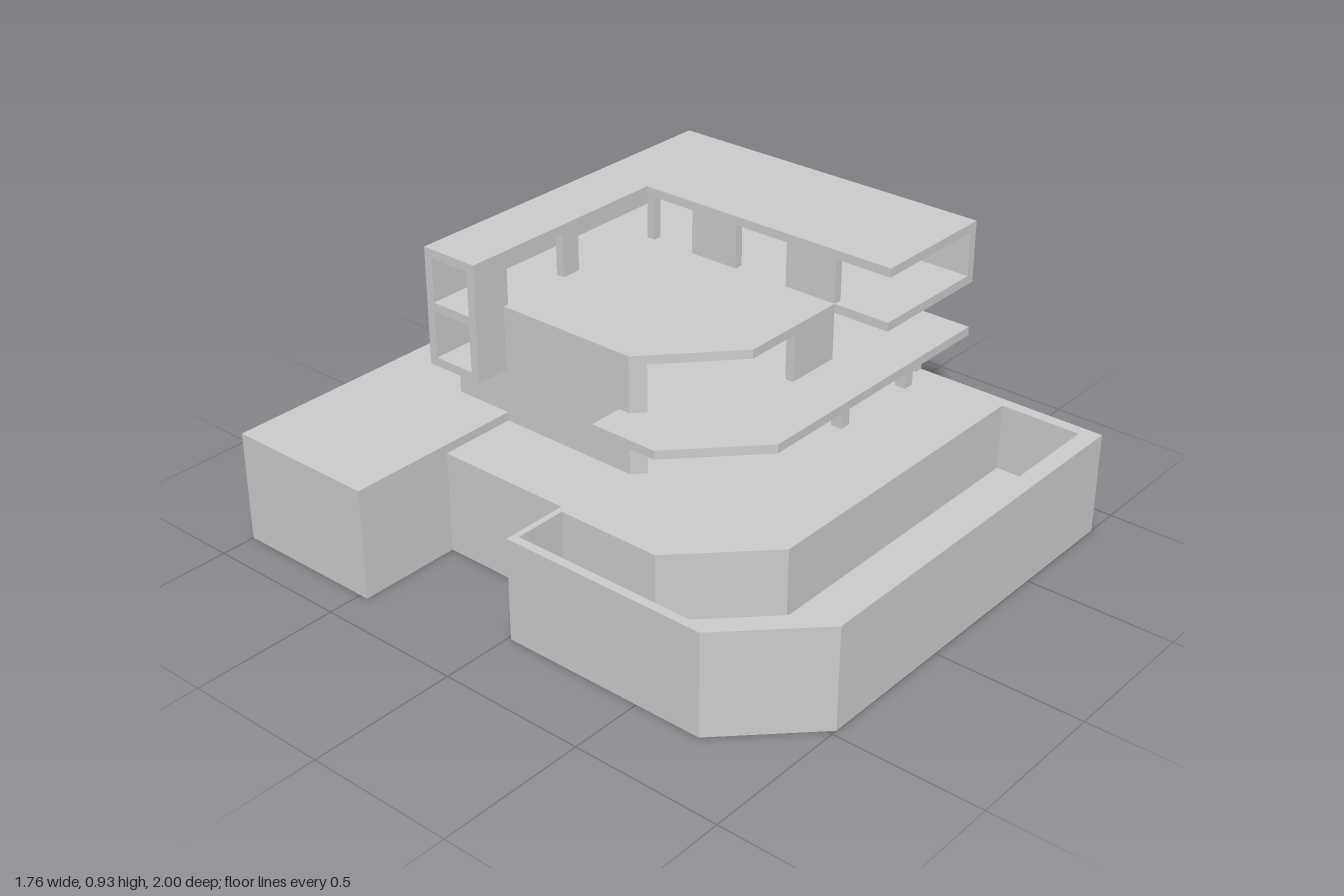
import * as THREE from 'three';

const material = new THREE.MeshStandardMaterial({ color: 0xcccccc, flatShading: true });
const T = 0.03; // wall and slab thickness

// Horizontal plate between two heights; plan points are [x, z].
function plate(group, name, plan, y0, y1, hole) {
  const toVec = ([x, z]) => new THREE.Vector2(x, z);
  const shape = new THREE.Shape(plan.map(toVec));
  if (hole) shape.holes.push(new THREE.Path(hole.map(toVec)));
  const geo = new THREE.ExtrudeGeometry(shape, { depth: y1 - y0, bevelEnabled: false });
  geo.rotateX(Math.PI / 2).translate(0, y1, 0);
  const mesh = new THREE.Mesh(geo, material);
  mesh.name = name;
  group.add(mesh);
}

// Upright wall from plan point a to b; its thickness goes inward (left of travel).
function wall(group, name, [ax, az], [bx, bz], y0, y1, t = T) {
  const dx = bx - ax, dz = bz - az, len = Math.hypot(dx, dz);
  const mesh = new THREE.Mesh(new THREE.BoxGeometry(len, y1 - y0, t), material);
  mesh.position.set((ax + bx) / 2 + (dz / len) * t / 2, (y0 + y1) / 2, (az + bz) / 2 - (dx / len) * t / 2);
  mesh.rotation.y = -Math.atan2(dz, dx);
  mesh.name = name;
  group.add(mesh);
}

export function createModel() {
  const model = new THREE.Group();
  model.name = 'terracedHouse';

  // Base: rear block and podium with a sunken trench
  plate(model, 'rearBlock', [[-0.88, -1], [0.88, -1], [0.88, -0.47], [-0.88, -0.47]], 0, 0.38);
  const podium = [[-0.52, -0.47], [0.88, -0.47], [0.88, 1], [-0.48, 1], [-0.75, 0.73], [-0.75, 0.01], [-0.52, 0.01]];
  const trench = [[-0.72, 0.03], [-0.54, 0.03], [-0.54, 0.39], [-0.27, 0.66], [0.84, 0.66], [0.84, 0.94], [-0.45, 0.94], [-0.72, 0.67]];
  plate(model, 'podiumFloor', podium, 0, 0.12);
  plate(model, 'podium', podium, 0.12, 0.35, trench);

  // Slabs: balcony, terrace and L-shaped roof
  const rear = [[-0.37, -0.47], [-0.37, -0.68], [0.88, -0.68], [0.88, 0.49]];
  plate(model, 'balconySlab', [...rear, [-0.11, 0.49], [-0.37, 0.24], [-0.37, 0], [-0.25, 0], [-0.25, -0.47]], 0.53, 0.56);
  plate(model, 'terraceSlab', [...rear, [0.42, 0.49], [0.42, 0.29], [0.02, 0.29], [-0.25, 0.04], [-0.25, -0.47]], 0.72, 0.75);
  plate(model, 'roof', [...rear, [0.42, 0.49], [0.42, -0.47]], 0.9, 0.93);

  // Lower and middle storeys: solid sides, open front with piers
  const storeys = [
    { name: 'lower', y0: 0.35, y1: 0.53, z: 0.32, left: -0.25, from: -0.68 },
    { name: 'middle', y0: 0.56, y1: 0.72, z: 0.3, left: -0.25, from: -0.47 },
  ];
  for (const { name, y0, y1, z, left, from } of storeys) {
    wall(model, name + 'LeftWall', [left, from], [left, 0.04], y0, y1);
    wall(model, name + 'CornerPier', [left, 0.04], [-0.21, 0.077], y0, y1);
    wall(model, name + 'FrontPier', [0.22, 0.29], [0.42, 0.29], y0, y1);
    wall(model, name + 'RightWall', [0.88, z], [0.88, -0.68], y0, y1);
    wall(model, name + 'BackWall', [0.88, -0.68], [name === 'lower' ? left : -0.37, -0.68], y0, y1);
  }

  // Slim columns under the balcony
  for (const x of [0.385, 0.73]) wall(model, 'balconyColumn', [x, 0.36], [x + 0.04, 0.36], 0.35, 0.53, 0.04);

  // Overhanging rear end of the middle storey: front wall, open end
  wall(model, 'middleEndWall', [-0.37, -0.47], [-0.25, -0.47], 0.56, 0.72);

  // Upper storey: rear bar with windows, wing and loggia
  const [y0, y1] = [0.75, 0.9];
  wall(model, 'upperBackWall', [0.88, -0.68], [-0.37, -0.68], y0, y1);
  wall(model, 'upperRightWall', [0.88, 0.49], [0.88, -0.68], y0, y1);
  wall(model, 'upperEndWall', [-0.37, -0.47], [-0.23, -0.47], y0, y1);
  wall(model, 'upperPier', [0.02, -0.47], [0.09, -0.47], y0, y1);
  wall(model, 'wingCornerPost', [0.42, -0.47], [0.42, -0.44], y0, y1);
  for (const [a, b] of [[-0.28, -0.1], [0.1, 0.29]]) wall(model, 'wingSideWall', [0.42, a], [0.42, b], y0, y1);

  return model;
}
